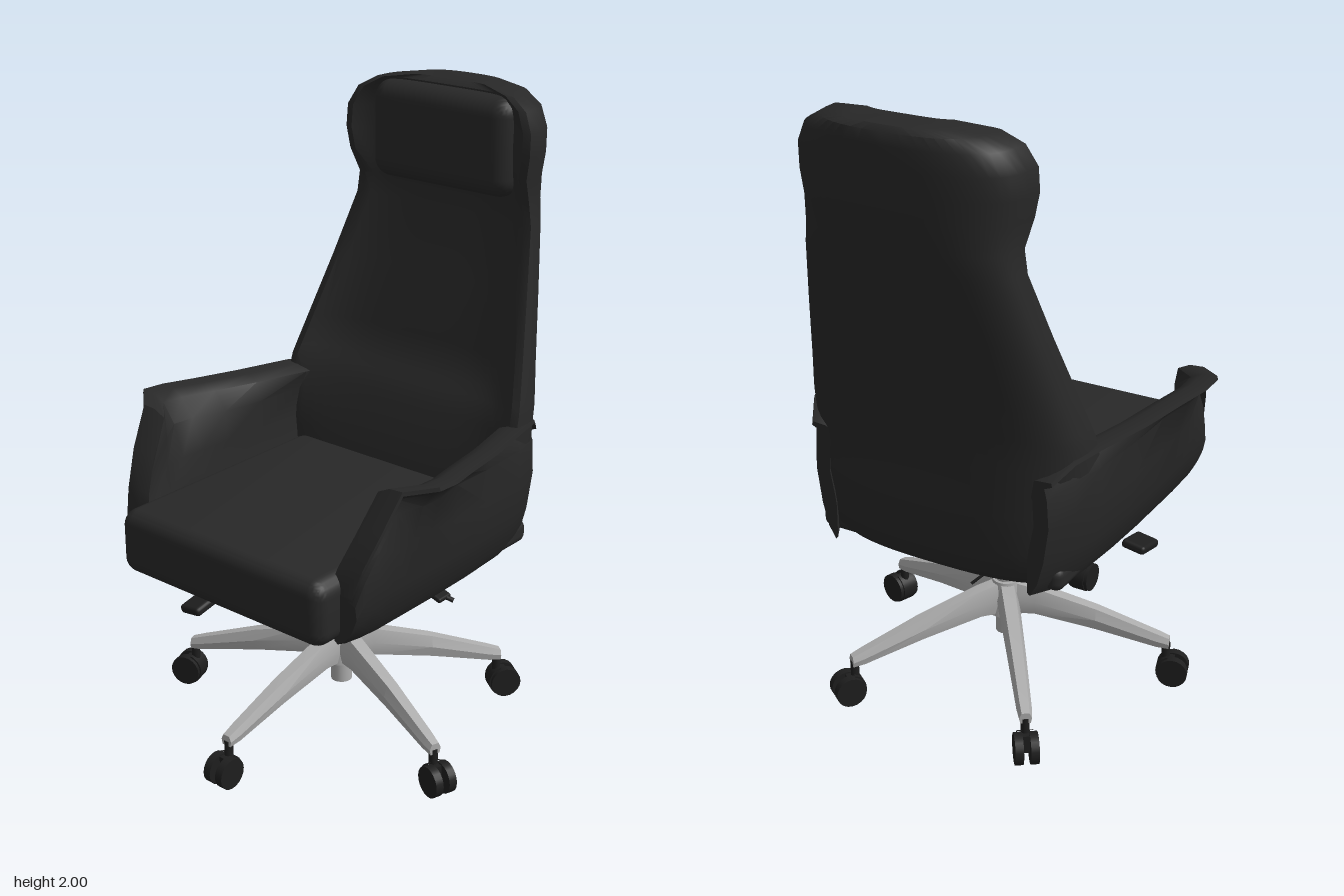
import * as THREE from 'three';
import { toCreasedNormals } from 'three/addons/utils/BufferGeometryUtils.js';
import { RoundedBoxGeometry } from 'three/addons/geometries/RoundedBoxGeometry.js';

const leather = new THREE.MeshStandardMaterial({ color: 0x282828 });
leather.name = 'black leather';
const plastic = new THREE.MeshStandardMaterial({ color: 0x1e1e1e });
plastic.name = 'black plastic';
const metal = new THREE.MeshStandardMaterial({ color: 0xacacac });
metal.name = 'brushed metal';

const BASE_Z = 0.03;

function add(parent, name, geometry, material, x = 0, y = 0, z = 0) {
  const mesh = new THREE.Mesh(geometry, material);
  mesh.name = name;
  mesh.position.set(x, y, z);
  parent.add(mesh);
  return mesh;
}

// Skin a list of equal-length closed rings; point i faces point n-1-i across the section
function loft(rings, crease = 0.7) {
  const n = rings[0].length, last = (rings.length - 1) * n;
  const pos = rings.flat(2);
  let index = [];
  for (let r = 0; r < rings.length - 1; r++) {
    for (let i = 0; i < n; i++) {
      const a = r * n + i, b = r * n + (i + 1) % n;
      index.push(a, b, b + n, a, b + n, a + n);
    }
  }
  for (let i = 0; i < n / 2 - 1; i++) {
    const j = n - 1 - i;
    index.push(i, j, j - 1, i, j - 1, i + 1);
    index.push(last + i, last + j - 1, last + j, last + i, last + i + 1, last + j - 1);
  }
  // Turn the faces outward if the enclosed volume comes out negative
  const p = (i) => new THREE.Vector3().fromArray(pos, i * 3);
  let volume = 0;
  for (let i = 0; i < index.length; i += 3) {
    volume += p(index[i]).dot(p(index[i + 1]).cross(p(index[i + 2])));
  }
  if (volume < 0) index.reverse();
  const g = new THREE.BufferGeometry();
  g.setAttribute('position', new THREE.Float32BufferAttribute(pos, 3));
  g.setIndex(index);
  return toCreasedNormals(g, crease);
}

// Backrest section: rounded outer shell, hollow front between two side wings
function backRing([y, w, zb, zf, zi]) {
  const ring = [], N = 24;
  for (let i = 0; i <= N; i++) {
    const a = -Math.PI / 2 + Math.PI * i / N, s = Math.sin(a);
    const c = Math.max(0, Math.cos(a));
    ring.push([w * Math.sign(s) * Math.abs(s) ** 0.75, y, zf + (zb - zf) * c ** 0.65]);
  }
  for (let i = N; i >= 0; i--) {
    const t = -1 + 2 * i / N;
    ring.push([t * (w - 0.025), y, zi + (zf + 0.005 - zi) * Math.abs(t) ** 5]);
  }
  return ring;
}

function backrest() {
  // height, half width, back z, wing z, inner z
  const rows = [
    [0.60, 0.40, -0.41, -0.22, -0.21], [0.64, 0.43, -0.445, -0.22, -0.21],
    [0.72, 0.45, -0.46, -0.22, -0.21], [0.84, 0.46, -0.468, -0.23, -0.22],
    [1.00, 0.462, -0.478, -0.24, -0.29], [1.07, 0.458, -0.485, -0.26, -0.315],
    [1.10, 0.452, -0.49, -0.272, -0.345], [1.20, 0.43, -0.51, -0.31, -0.37],
    [1.40, 0.385, -0.56, -0.385, -0.42], [1.60, 0.342, -0.605, -0.455, -0.48],
    [1.67, 0.332, -0.617, -0.455, -0.49], [1.75, 0.343, -0.625, -0.42, -0.49],
    [1.82, 0.355, -0.63, -0.415, -0.48], [1.89, 0.353, -0.633, -0.42, -0.48],
    [1.95, 0.322, -0.634, -0.435, -0.48], [1.985, 0.26, -0.63, -0.455, -0.48],
    [2.00, 0.16, -0.615, -0.49, -0.50],
  ];
  return loft(rows.map(backRing));
}

// Armrest: shell section bowed outward, ending in a flared lip
function armrest(side) {
  // z, top height, lip x, body width factor
  const rows = [
    [-0.43, 0.98, 0.41, 0.80], [-0.36, 1.03, 0.45, 0.90], [-0.25, 1.04, 0.48, 0.96],
    [-0.06, 1.045, 0.527, 0.99], [0.10, 1.055, 0.56, 1], [0.22, 1.063, 0.588, 1],
    [0.30, 1.068, 0.59, 1], [0.37, 1.055, 0.515, 1], [0.44, 0.94, 0.495, 0.985],
    [0.49, 0.84, 0.47, 0.96], [0.51, 0.76, 0.45, 0.93],
  ];
  return loft(rows.map(([z, top, lip, k]) => {
    const at = (f) => 0.6 + (top - 0.6) * f;
    const inner = 0.40 * Math.min(1, k + 0.03);
    return [
      [0.425 * k, 0.597], [0.455 * k, at(0.1)], [0.48 * k, at(0.3)], [0.5 * k, at(0.6)],
      [Math.max(lip - 0.06, 0.505 * k - 0.01), at(0.84)], [lip - 0.025, at(0.94)],
      [lip, top - 0.012], [lip - 0.003, top],
      [lip - 0.05, top - 0.003], [lip - 0.09, at(0.95)],
      [Math.max(inner + 0.015, lip - 0.135), at(0.82)], [inner + 0.02, at(0.6)],
      [inner + 0.005, at(0.4)], [inner, at(0.3)], [inner, at(0.1)], [inner, 0.605],
    ].map(([x, y]) => [side * x, y, z]);
  }));
}

// Rounded cushion with a crowned front or top
function cushion(w, h, d, r, crown) {
  const g = new RoundedBoxGeometry(w, h, d, 5, r);
  const p = g.attributes.position;
  for (let i = 0; i < p.count; i++) {
    crown(p, i, 1 - (2 * p.getX(i) / w) ** 2);
  }
  return toCreasedNormals(g, 0.8);
}

function tube(points, r) {
  const curve = new THREE.CatmullRomCurve3(points.map((q) => new THREE.Vector3(...q)));
  return new THREE.TubeGeometry(curve, 12, r, 8);
}

// One spoke of the base with its twin-wheel caster, pointing along +z
function spoke() {
  const g = new THREE.Group();
  const rows = [
    [0.02, 0.035, 0.21, 0.32], [0.10, 0.035, 0.215, 0.305],
    [0.30, 0.03, 0.18, 0.25], [0.50, 0.024, 0.135, 0.18], [0.54, 0.02, 0.13, 0.165],
  ];
  add(g, 'leg', loft(rows.map(([z, w, lo, hi]) => [
    [-w * 0.8, lo, z], [-w, (lo + hi) / 2, z], [-w * 0.6, hi, z],
    [w * 0.6, hi, z], [w, (lo + hi) / 2, z], [w * 0.8, lo, z],
  ]), 0.5), metal);
  add(g, 'casterStem', new THREE.CylinderGeometry(0.014, 0.014, 0.08, 12), plastic, 0, 0.105, 0.53);
  const caster = new THREE.Group();
  caster.name = 'caster';
  caster.position.set(0, 0.05, 0.555);
  for (const s of [-1, 1]) {
    const wheel = add(caster, 'wheel', new THREE.CylinderGeometry(0.05, 0.05, 0.026, 20), plastic, s * 0.024);
    wheel.rotation.z = Math.PI / 2;
  }
  const hood = add(caster, 'casterHood',
    new THREE.CylinderGeometry(0.054, 0.054, 0.05, 16, 1, false, Math.PI * 0.6, Math.PI * 0.8), plastic, 0, 0.001);
  hood.rotation.z = Math.PI / 2;
  hood.material = plastic;
  add(caster, 'axle', new THREE.BoxGeometry(0.03, 0.06, 0.03), plastic, 0, 0.015, -0.01);
  g.add(caster);
  return g;
}

export function createModel() {
  const chair = new THREE.Group();
  chair.name = 'officeChair';

  // Upholstery
  add(chair, 'backrest', backrest(), leather);
  add(chair, 'leftArmrest', armrest(1), leather);
  add(chair, 'rightArmrest', armrest(-1), leather);
  add(chair, 'seatCushion', cushion(0.81, 0.205, 0.84, 0.05, (p, i, t) => {
    if (p.getY(i) > 0) p.setY(i, p.getY(i) + 0.025 * t);
  }), leather, 0, 0.705, 0.18);
  add(chair, 'seatShell', new RoundedBoxGeometry(0.84, 0.08, 0.88, 3, 0.03), leather, 0, 0.638, 0.05);
  add(chair, 'headPillow', cushion(0.54, 0.31, 0.14, 0.06, (p, i, t) => {
    if (p.getZ(i) > 0) p.setZ(i, p.getZ(i) + 0.015 * t);
  }), leather, 0, 1.825, -0.49);

  // Tilt mechanism
  const plate = add(chair, 'tiltHousing', new THREE.CylinderGeometry(0.2, 0.12, 0.07, 4, 1), plastic, 0, 0.57, 0.03);
  plate.geometry.rotateY(Math.PI / 4);
  const knob = add(chair, 'tensionKnob', new THREE.CylinderGeometry(0.04, 0.045, 0.12, 16), plastic, 0, 0.505, 0.21);
  knob.rotation.x = 0.15;
  add(chair, 'columnSleeve', new THREE.CylinderGeometry(0.035, 0.03, 0.14, 16), plastic, 0, 0.5, BASE_Z);
  add(chair, 'leftLever', tube([[0.04, 0.54, -0.02], [0.18, 0.5, -0.08], [0.32, 0.45, -0.14]], 0.008), plastic);
  add(chair, 'leftLeverPaddle', new RoundedBoxGeometry(0.09, 0.018, 0.06, 2, 0.008), plastic, 0.26, 0.47, -0.12).rotation.z = -0.3;
  add(chair, 'rightLever', tube([[-0.04, 0.54, 0.2], [-0.14, 0.52, 0.26], [-0.25, 0.49, 0.34]], 0.008), plastic);
  add(chair, 'rightLeverTip', new RoundedBoxGeometry(0.055, 0.02, 0.045, 2, 0.008), plastic, -0.245, 0.49, 0.34);
  const paddle = add(chair, 'rightPaddle', new RoundedBoxGeometry(0.085, 0.03, 0.12, 2, 0.012), plastic, -0.34, 0.405, 0.32);
  paddle.rotation.set(0.2, 0, 0.15);
  add(chair, 'releaseCable', tube([[0.03, 0.37, 0.02], [0.06, 0.34, -0.02], [0.09, 0.31, -0.04]], 0.005), plastic);

  // Column and five-spoke base
  const base = new THREE.Group();
  base.name = 'base';
  base.position.z = BASE_Z;
  add(base, 'gasColumn', new THREE.CylinderGeometry(0.034, 0.034, 0.31, 20), metal, 0, 0.285);
  add(base, 'hub', new THREE.CylinderGeometry(0.045, 0.06, 0.12, 20), metal, 0, 0.265);
  for (let i = 0; i < 5; i++) {
    const s = spoke();
    s.name = 'spoke';
    s.rotation.y = i * Math.PI * 2 / 5;
    base.add(s);
  }
  chair.add(base);
  return chair;
}
